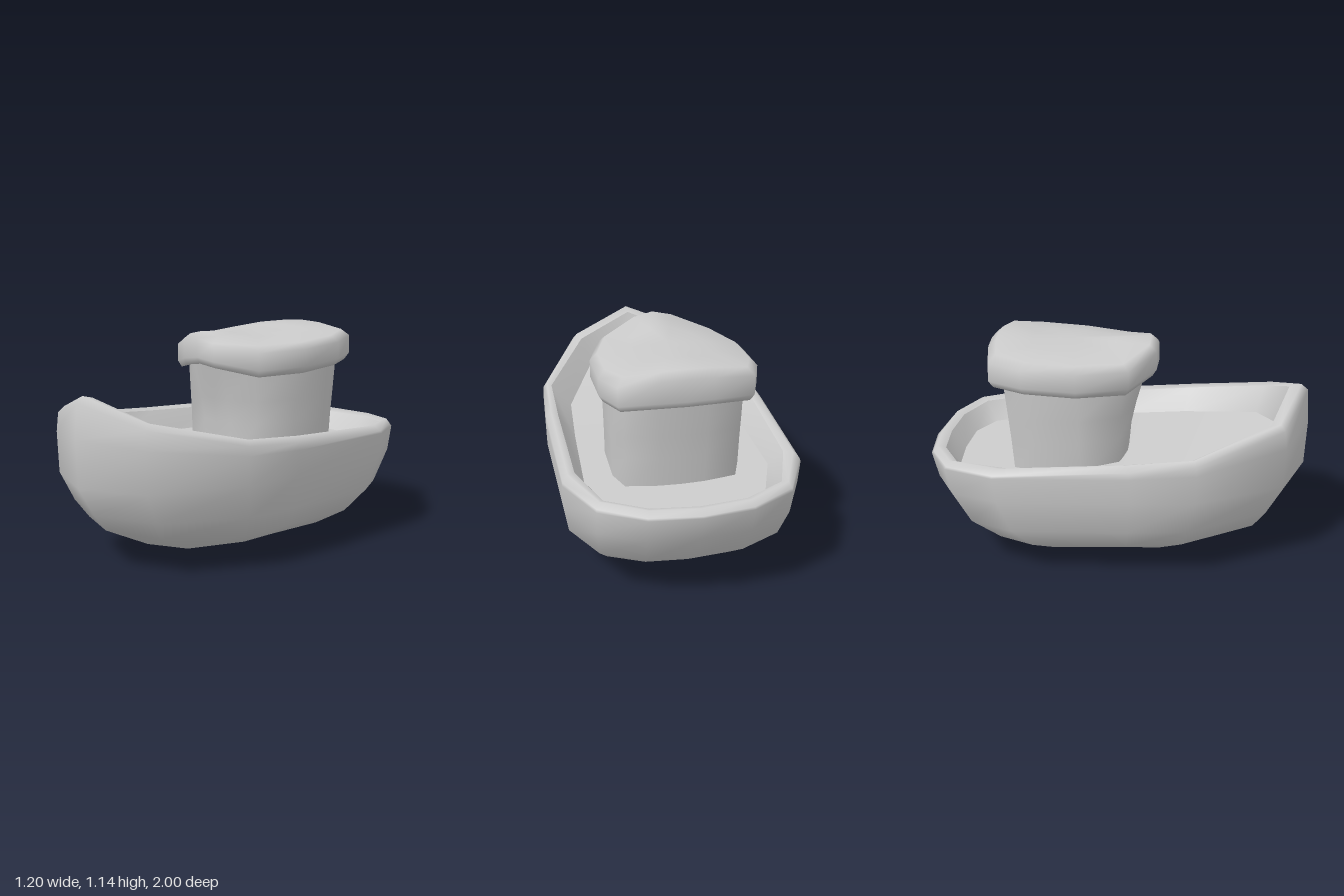
import * as THREE from 'three';
import { mergeVertices } from 'three/addons/utils/BufferGeometryUtils.js';

const material = new THREE.MeshStandardMaterial({ color: 0xcccccc });

// Mirrors a half ring (front to back along +x) into a closed ring.
function mirror(half) {
  const other = half.slice(1, -1).reverse().map(([x, y, z]) => [-x, y, z]);
  return [...half, ...other];
}

// Skins a list of half rings into one smooth surface.
function loft(name, halfRings) {
  const rings = halfRings.map(mirror);
  const n = rings[0].length;
  const index = [];
  for (let r = 0; r < rings.length - 1; r++) {
    for (let i = 0; i < n; i++) {
      const a = r * n + i, b = r * n + (i + 1) % n;
      index.push(a, b, b + n, a, b + n, a + n);
    }
  }
  let geometry = new THREE.BufferGeometry();
  geometry.setAttribute('position', new THREE.Float32BufferAttribute(rings.flat(2), 3));
  geometry.setIndex(index);
  geometry = mergeVertices(geometry, 1e-4);
  geometry.computeVertexNormals();
  const mesh = new THREE.Mesh(geometry, material);
  mesh.name = name;
  return mesh;
}

// Outlines run from the bow centre round the side to the stern centre.
// Hull: x, z, sheer height
const hullPlan = [
  [0, 1.0, 0.885], [0.34, 0.86, 0.78], [0.575, 0.41, 0.675], [0.6, 0.08, 0.648],
  [0.6, -0.6, 0.612], [0.475, -0.86, 0.6], [0.255, -0.975, 0.59], [0, -1, 0.585],
];
// Inner edge of the rim: x, z
const rimPlan = [
  [0, 0.89], [0.3, 0.78], [0.53, 0.38], [0.535, 0.05],
  [0.53, -0.53], [0.435, -0.8], [0.235, -0.9], [0, -0.92],
];
// Deck: x, z, height
const deckPlan = [
  [0, 0.82, 0.67], [0.25, 0.74, 0.625], [0.43, 0.34, 0.55], [0.455, 0, 0.52],
  [0.475, -0.46, 0.495], [0.375, -0.74, 0.485], [0.23, -0.83, 0.48], [0, -0.845, 0.48],
];
// Cabin wall top: x, z
const cabinPlan = [
  [0, 0.145], [0.1, 0.135], [0.25, 0.03], [0.335, -0.2],
  [0.335, -0.45], [0.29, -0.575], [0.12, -0.605], [0, -0.61],
];
// Roof: x, z, lower height, upper height
const roofPlan = [
  [0, 0.205, 0.965, 1.135], [0.11, 0.195, 0.95, 1.115], [0.305, 0.06, 0.908, 1.068],
  [0.392, -0.2, 0.915, 1.075], [0.392, -0.47, 0.932, 1.092], [0.33, -0.64, 0.945, 1.112],
  [0.13, -0.67, 0.955, 1.135], [0, -0.675, 0.955, 1.14],
];

// Horizontal hull sections: width scale, bow z, stern z, height at bow, side, stern
const hullSections = [
  [0, 0, 0, 0, 0, 0],
  [0.33, 0.33, 0.38, 0.03, 0.04, 0.03],
  [0.64, 0.56, 0.53, 0.07, 0.095, 0.06],
  [0.83, 0.83, 0.7, 0.2, 0.165, 0.135],
  [0.945, 0.9, 0.86, 0.29, 0.275, 0.25],
  [0.995, 0.99, 0.965, 0.44, 0.45, 0.42],
  [1, 1, 0.998, 0.68, 0.58, 0.55],
];

function hullRing([sx, bow, stern, yBow, ySide, yStern]) {
  return hullPlan.map(([x, z]) => {
    const t = z * z;
    const y = ySide + ((z > 0 ? yBow : yStern) - ySide) * t;
    return [x * sx, y, z * (z > 0 ? bow : stern)];
  });
}

function roofRing(scale, height) {
  const mid = -0.235;
  return roofPlan.map(([x, z, low, high]) => [x * scale, height(low, high), mid + (z - mid) * scale]);
}

export function createModel() {
  const model = new THREE.Group();
  model.name = 'boat';

  // Hull shell with its rounded rim
  const rimInner = rimPlan.map(([x, z], i) => [x, hullPlan[i][2] - 0.015, z]);
  const rimTop = hullPlan.map(([x, z, h], i) => [
    x * 0.55 + rimPlan[i][0] * 0.45, h, z * 0.55 + rimPlan[i][1] * 0.45,
  ]);
  const rimOuter = hullPlan.map(([x, z, h]) => [x * 0.995, h - 0.03, z * 0.987]);
  model.add(loft('hull', [...hullSections.map(hullRing), rimOuter, rimTop, rimInner]));

  // Inside walls and deck
  const deckEdge = deckPlan.map(([x, z, y]) => [x, y, z]);
  const deckMiddle = deckPlan.map(([, z, y]) => [0, y, z]);
  model.add(loft('bulwark', [rimInner, deckEdge]));
  model.add(loft('deck', [deckEdge, deckMiddle]));

  // Cabin walls, raked in towards the bottom: height, width scale, front z, back z scale
  const cabinRings = [
    [0.46, 0.97, 0.3, 0.92],
    [0.65, 0.98, 0.42, 0.945],
    [0.77, 0.99, 0.6, 0.965],
    [0.97, 1, 1, 1],
  ].map(([y, sx, front, back]) =>
    cabinPlan.map(([x, z]) => [x * sx, y, z > 0 ? z * front : z * back]));
  model.add(loft('cabin', cabinRings));

  // Overhanging roof with rounded edge
  model.add(loft('roof', [
    roofRing(0, () => 0.955),
    roofRing(0.82, (low) => low + 0.015),
    roofRing(0.95, (low) => low),
    roofRing(1, (low) => low + 0.035),
    roofRing(1, (low, high) => high - 0.035),
    roofRing(0.91, (low, high) => high),
    roofRing(0.5, (low, high) => 1.115 + (high - 1.115) * 0.4),
    roofRing(0, () => 1.118),
  ]));

  return model;
}
